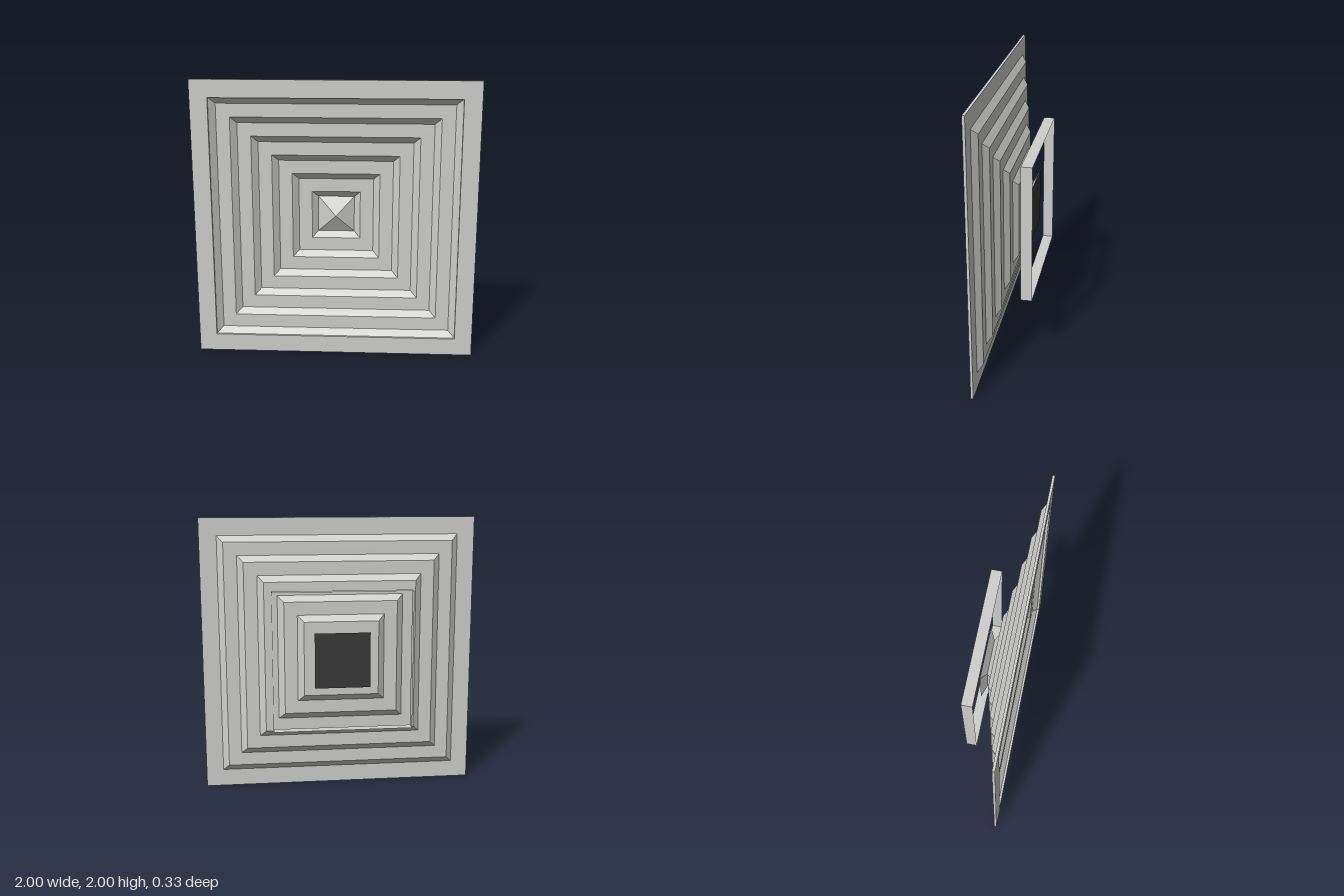
import * as THREE from 'three';

// Square loft: [half width, z] pairs swept around the z axis in four flat sides
function squareLoft(profile) {
  const pts = profile.map(([half, z]) => new THREE.Vector2(half * Math.SQRT2, z));
  const geo = new THREE.LatheGeometry(pts, 4, Math.PI / 4).toNonIndexed();
  geo.rotateX(Math.PI / 2);
  geo.computeVertexNormals();
  return geo;
}

export function createModel() {
  const group = new THREE.Group();
  const paint = new THREE.MeshStandardMaterial({ color: 0xcfcfcd, side: THREE.DoubleSide, flatShading: true });
  paint.name = 'light grey paint';
  const dark = new THREE.MeshStandardMaterial({ color: 0x383838 });
  dark.name = 'dark backing';

  const add = (name, geo, mat) => {
    const mesh = new THREE.Mesh(geo, mat);
    mesh.name = name;
    mesh.position.y = 1;
    group.add(mesh);
    return mesh;
  };

  // Outer frame with a square opening
  const frame = new THREE.Shape();
  frame.moveTo(-1, -1).lineTo(1, -1).lineTo(1, 1).lineTo(-1, 1).closePath();
  const hole = new THREE.Path();
  hole.moveTo(-0.875, -0.875).lineTo(-0.875, 0.875).lineTo(0.875, 0.875).lineTo(0.875, -0.875).closePath();
  frame.holes.push(hole);
  const frameGeo = new THREE.ExtrudeGeometry(frame, { depth: 0.018, bevelEnabled: false });
  frameGeo.translate(0, 0, 0.147);
  add('frame', frameGeo, paint);

  // Six sloped steps receding towards the neck
  const steps = [];
  for (let i = 0; i < 6; i++) {
    const outer = 0.875 - i * 0.14;
    const z = 0.147 - i * 0.0363;
    steps.push([outer, z], [outer - 0.045, z - 0.0363]);
  }
  add('steppedVanes', squareLoft(steps), paint);

  // Central pyramid, apex to the front, with its dark back
  add('centrePyramid', squareLoft([[0.2, -0.108], [0.0005, 0.002]]), paint);
  const back = new THREE.PlaneGeometry(0.4, 0.4);
  back.rotateY(Math.PI);
  back.translate(0, 0, -0.109);
  add('pyramidBack', back, dark);

  // Thin square collar at the rear
  add('ductCollar', squareLoft([[0.5, -0.165], [0.5, -0.087]]), paint);

  return group;
}
